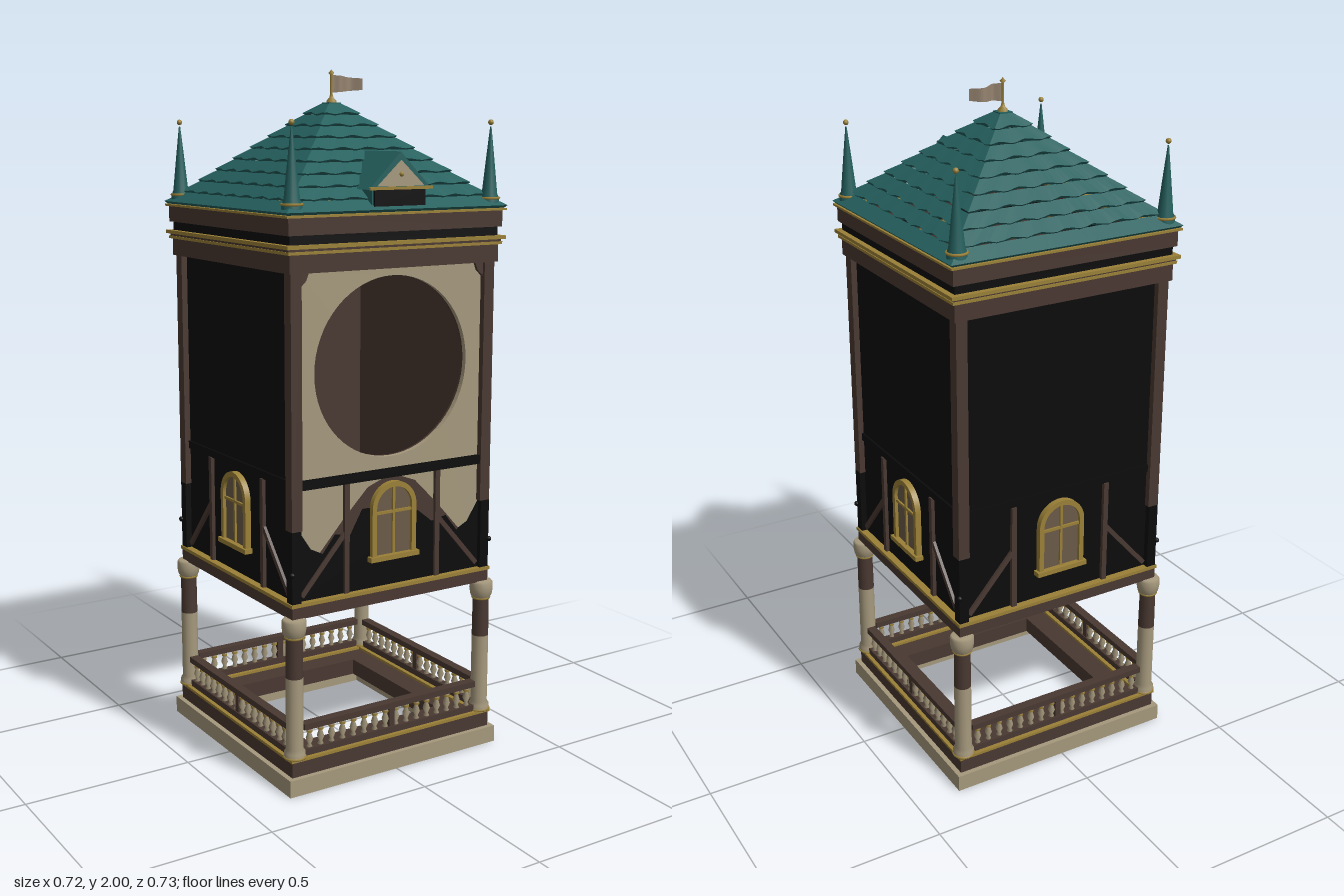
import * as THREE from 'three';
import { mergeGeometries } from 'three/addons/utils/BufferGeometryUtils.js';

const mat = (name, color, side = THREE.FrontSide) => {
  const m = new THREE.MeshStandardMaterial({ color, side });
  m.name = name;
  return m;
};

export function createModel() {
  const cream = mat('cream plaster', 0xa5987c), brown = mat('brown timber', 0x493831);
  const black = mat('black panel', 0x0b0b0b), gold = mat('old gold', 0x9a8037);
  const teal = mat('teal shingle', 0x24605e, THREE.DoubleSide);
  const pane = mat('window tan', 0x6b5b49), cloth = mat('flag cloth', 0x95836f, THREE.DoubleSide);

  const root = new THREE.Group();
  const add = (name, geo, m, parent = root, x = 0, y = 0, z = 0) => {
    const mesh = new THREE.Mesh(geo, m);
    mesh.name = name;
    mesh.position.set(x, y, z);
    parent.add(mesh);
    return mesh;
  };
  // box given by its min and max corners
  const box = (name, m, x0, x1, y0, y1, z0, z1, parent = root) =>
    add(name, new THREE.BoxGeometry(x1 - x0, y1 - y0, z1 - z0), m, parent, (x0 + x1) / 2, (y0 + y1) / 2, (z0 + z1) / 2);
  const poly = pts => new THREE.Shape(pts.map(p => new THREE.Vector2(...p)));
  const rect = (x0, x1, y0, y1) => poly([[x0, y0], [x1, y0], [x1, y1], [x0, y1]]);
  const plate = (name, m, shape, z, depth, parent = root) =>
    add(name, new THREE.ExtrudeGeometry(shape, { depth, bevelEnabled: false, curveSegments: 32 }), m, parent, 0, 0, z);
  // hollow square course
  const ring = (name, m, outer, inner, y0, y1) => {
    const s = rect(-outer, outer, -outer, outer);
    s.holes.push(rect(-inner, inner, -inner, inner));
    const g = new THREE.ExtrudeGeometry(s, { depth: y1 - y0, bevelEnabled: false });
    return add(name, g.rotateX(-Math.PI / 2), m, root, 0, y0, 0);
  };
  const lathe = (pts, n = 16) => new THREE.LatheGeometry(pts.map(p => new THREE.Vector2(...p)), n);
  const arch = r => {
    const s = new THREE.Shape();
    s.moveTo(-r, 0.645);
    s.lineTo(r, 0.645);
    s.lineTo(r, 0.785);
    s.absarc(0, 0.785, r, 0, Math.PI, false);
    s.lineTo(-r, 0.645);
    return s;
  };

  // Plinth and floor frames
  ring('plinth', cream, 0.36, 0.27, 0, 0.05);
  ring('plinthStep', brown, 0.345, 0.23, 0.045, 0.095);
  ring('plinthTrim', gold, 0.349, 0.3, 0.095, 0.103);
  ring('bodySill', brown, 0.338, 0.3, 0.51, 0.545);
  ring('bodySillTrim', gold, 0.342, 0.3, 0.545, 0.555);

  // Corner columns, corner timbers and spires
  const baluster = lathe([[0.004, 0], [0.009, 0.004], [0.005, 0.012], [0.011, 0.027], [0.005, 0.046], [0.009, 0.056], [0.004, 0.062]], 8);
  for (const sx of [-1, 1]) for (const sz of [-1, 1]) {
    const c = new THREE.Group();
    c.name = 'corner';
    c.position.set(sx * 0.325, 0, sz * 0.325);
    root.add(c);
    add('columnLower', lathe([[0.031, 0.1], [0.031, 0.12], [0.025, 0.13], [0.025, 0.34]]), cream, c);
    add('columnUpper', lathe([[0.025, 0.34], [0.024, 0.46]]), brown, c);
    add('columnCapital', lathe([[0.024, 0.455], [0.032, 0.468], [0.035, 0.485], [0.035, 0.505], [0.03, 0.512], [0, 0.512]]), cream, c);
    for (const [y, r] of [[0.105, 0.03], [0.458, 0.025]])
      add('columnBand', new THREE.TorusGeometry(r, 0.004, 6, 20).rotateX(Math.PI / 2), gold, c, 0, y, 0);
    box('cornerTimberLower', black, -0.018, 0.012, 0.555, 0.76, -0.018, 0.012, c).position.set(-sx * 0.002, 0.6575, -sz * 0.002);
    box('cornerTimber', brown, -0.017, 0.017, 0.76, 1.465, -0.017, 0.017, c).position.set(-sx * 0.004, 1.1125, -sz * 0.004);
    add('timberPeg', new THREE.SphereGeometry(0.008, 8, 6), black, c, sx * 0.014, 0.64, sz * 0.014);
    add('spire', lathe([[0.028, 1.615], [0.028, 1.64], [0.022, 1.655], [0.012, 1.75], [0.002, 1.84]]), teal, c);
    add('spireBand', new THREE.TorusGeometry(0.027, 0.004, 6, 20).rotateX(Math.PI / 2), gold, c, 0, 1.642, 0);
    add('spireBall', new THREE.SphereGeometry(0.008, 10, 8), gold, c, 0, 1.852, 0);
  }

  // Four sides: railing, walls, timbers, window
  for (let k = 0; k < 4; k++) {
    const s = new THREE.Group();
    s.name = ['frontSide', 'leftSide', 'backSide', 'rightSide'][k];
    s.rotation.y = k * Math.PI / 2;
    root.add(s);
    box('bottomRail', brown, -0.3, 0.3, 0.1, 0.122, 0.313, 0.337, s);
    box('topRail', brown, -0.3, 0.3, 0.18, 0.198, 0.311, 0.339, s);
    box('railPost', brown, -0.009, 0.009, 0.12, 0.182, 0.316, 0.334, s);
    for (let i = 0; i < 16; i++) {
      const x = -0.277 + i * 0.554 / 15;
      add('baluster', baluster, cream, s, x, 0.12, 0.325);
      add('balusterBand', new THREE.CylinderGeometry(0.009, 0.009, 0.006, 8), gold, s, x, 0.17, 0.325);
    }

    if (k === 0) {
      // Plastered front with a round opening
      for (const [name, m, z, d] of [['frontPanel', cream, 0.305, 0.015], ['frontLining', brown, 0.298, 0.007]]) {
        const wall = rect(-0.31, 0.31, 0.55, 1.47);
        const hole = new THREE.Path();
        hole.absarc(0, 1.185, 0.255, 0, Math.PI * 2, true);
        wall.holes.push(hole);
        plate(name, m, wall, z, d, s);
      }
      plate('paintedHill', brown, poly([[-0.26, 0.66], [-0.16, 0.77], [-0.08, 0.85], [0, 0.88], [0.08, 0.85], [0.16, 0.77], [0.26, 0.66]]), 0.32, 0.002, s);
      plate('paintedLowerPanel', black, poly([[-0.31, 0.555], [0.31, 0.555], [0.31, 0.76], [0.27, 0.7], [0.23, 0.68], [0.19, 0.73],
        [0.14, 0.72], [0.09, 0.76], [0, 0.7], [-0.05, 0.79], [-0.1, 0.79], [-0.14, 0.72], [-0.19, 0.73], [-0.23, 0.68], [-0.27, 0.7], [-0.31, 0.76]]), 0.32, 0.004, s);
      box('storeyBeam', black, -0.306, 0.306, 0.872, 0.897, 0.318, 0.335, s);
      for (const e of [-1, 1]) {
        const pts = [[e * 0.306, 1.465], [e * 0.275, 1.465], [e * 0.285, 1.44], [e * 0.306, 1.42]];
        plate('cornerBracket', brown, poly(pts), 0.319, 0.01, s);
      }
    } else {
      box('wallPanel', black, -0.31, 0.31, 0.55, 1.47, 0.305, 0.32, s);
      box('wallLining', brown, -0.31, 0.31, 0.55, 1.47, 0.298, 0.305, s);
      box('storeyBeam', black, -0.306, 0.306, 0.872, 0.895, 0.318, 0.326, s);
    }
    for (const e of [-1, 1]) {
      box('studTimber', brown, e * 0.155 - 0.008, e * 0.155 + 0.008, 0.555, 0.873, 0.318, 0.331, s);
      const brace = add('braceTimber', new THREE.BoxGeometry(0.014, 0.215, 0.01), brown, s, e * 0.23, 0.65, 0.324);
      brace.rotation.z = e * 0.72;
    }

    // Arched window
    const frame = arch(0.075);
    frame.holes.push(arch(0.06));
    plate('windowFrame', gold, frame, 0.318, 0.02, s);
    plate('windowPane', pane, arch(0.064), 0.32, 0.008, s);
    plate('windowInside', black, arch(0.06), 0.295, 0.005, s);
    box('windowMullion', gold, -0.004, 0.004, 0.65, 0.85, 0.325, 0.334, s);
    box('windowTransom', gold, -0.062, 0.062, 0.768, 0.776, 0.325, 0.334, s);
    box('windowSill', gold, -0.083, 0.083, 0.634, 0.648, 0.318, 0.345, s);
  }

  // Cornice and ceiling
  box('ceiling', brown, -0.31, 0.31, 1.45, 1.47, -0.3, 0.3);
  ring('corniceLower', brown, 0.345, 0.29, 1.462, 1.512);
  ring('corniceTrimLower', gold, 0.353, 0.29, 1.512, 1.52);
  ring('corniceMid', brown, 0.35, 0.29, 1.52, 1.527);
  ring('corniceTrimUpper', gold, 0.36, 0.29, 1.527, 1.537);
  ring('corniceBlack', black, 0.343, 0.29, 1.537, 1.562);
  ring('corniceUpper', brown, 0.352, 0.29, 1.562, 1.61);
  ring('eaveTrim', gold, 0.361, 0.29, 1.608, 1.614);

  // Hipped roof: overlapping courses with wavy lower edges
  const courses = 9, half = i => 0.359 - 0.339 * i / courses, high = i => 1.617 + 0.288 * i / courses;
  const parts = [];
  for (let i = 0; i < courses; i++) for (let k = 0; k < 4; k++) {
    const g = new THREE.PlaneGeometry(2, 1, 28, 2), p = g.attributes.position;
    for (let v = 0; v < p.count; v++) {
      const u = p.getX(v), row = Math.floor(v / 29);
      const wave = i ? 0.0035 * Math.sin(u * half(i) * 75 + i * 2 + k) * (1 - u ** 8) : 0;
      const h = row === 0 ? half(i + 1) : half(i) + wave + (row === 1 ? 0.003 : -0.004);
      const y = row === 0 ? high(i + 1) : high(i) - wave * 0.85 + (row === 1 ? 0.005 : -0.002);
      p.setXYZ(v, u * h, y, h);
    }
    const flat = g.rotateY(k * Math.PI / 2).toNonIndexed();
    flat.computeVertexNormals();
    parts.push(flat);
  }
  add('roof', mergeGeometries(parts), teal);
  box('roofTip', teal, -0.02, 0.02, 1.895, 1.908, -0.02, 0.02);

  // Dormer
  const dormer = new THREE.Group();
  dormer.name = 'dormer';
  root.add(dormer);
  plate('dormerRoof', teal, poly([[-0.102, 1.675], [0.102, 1.675], [0, 1.775]]), 0.16, 0.192, dormer);
  box('dormerBody', teal, -0.088, 0.088, 1.62, 1.676, 0.25, 0.345, dormer);
  box('dormerOpening', black, -0.083, 0.083, 1.63, 1.676, 0.345, 0.351, dormer);
  plate('dormerGable', cream, poly([[-0.077, 1.683], [0.077, 1.683], [0, 1.752]]), 0.352, 0.004, dormer);
  box('dormerTrim', gold, -0.102, 0.102, 1.674, 1.682, 0.35, 0.359, dormer);
  add('dormerBall', new THREE.SphereGeometry(0.007, 8, 6), gold, dormer, 0, 1.715, 0.356);

  // Flagpole and waving flag
  add('flagKnob', lathe([[0.015, 1.9], [0.015, 1.912], [0.006, 1.922], [0.004, 1.93], [0.004, 1.985], [0.009, 1.99], [0, 2]], 8), gold);
  const flag = new THREE.PlaneGeometry(0.1, 0.05, 20, 4), fp = flag.attributes.position;
  for (let v = 0; v < fp.count; v++) {
    const x = fp.getX(v) + 0.05;
    fp.setXYZ(v, x, 1.96 + fp.getY(v) * (1 - 3.5 * x), 0.012 * Math.sin(x * 72) * Math.min(1, x * 40));
  }
  flag.computeVertexNormals();
  add('flag', flag, cloth);

  return root;
}
